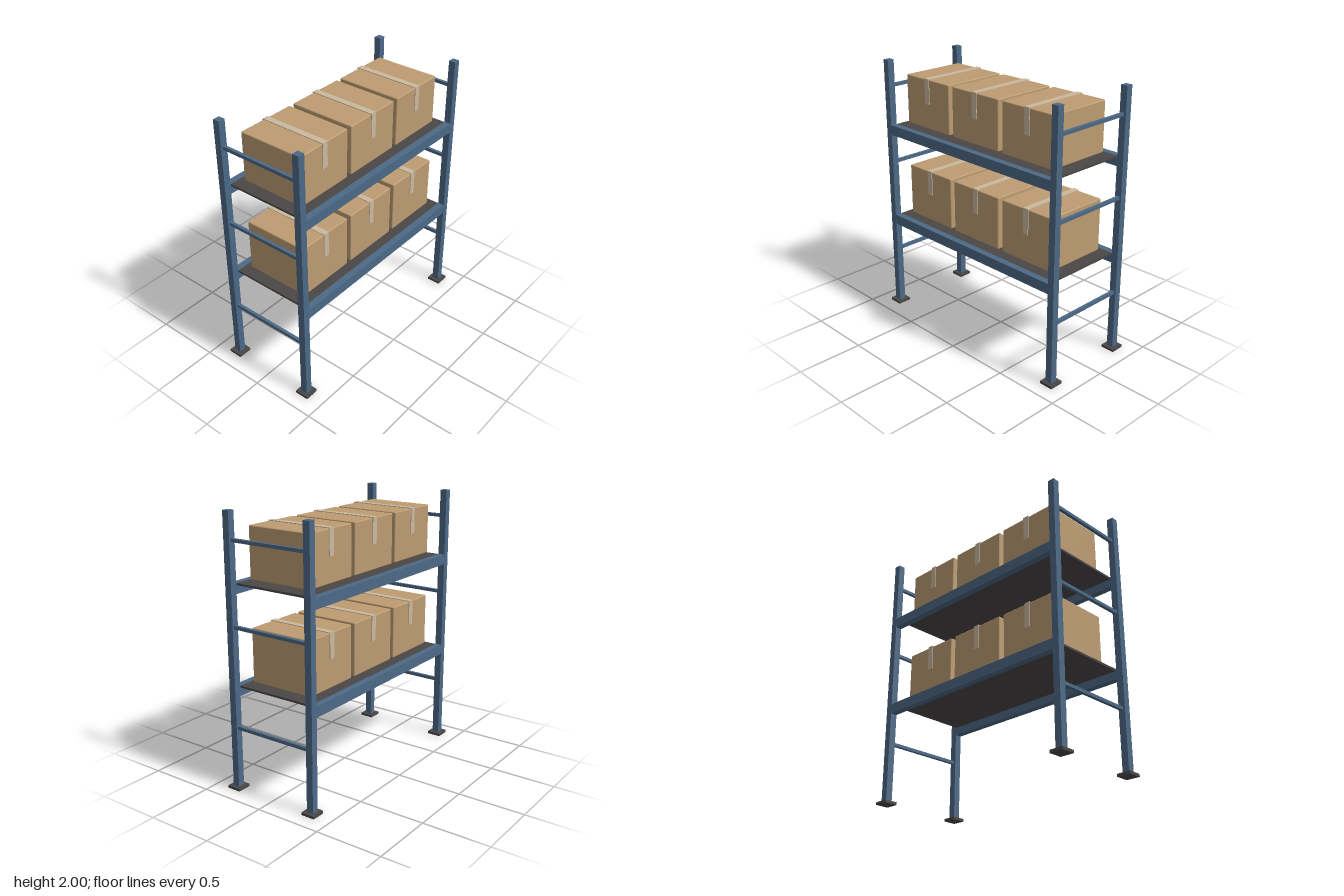
import * as THREE from 'three';
import { RoundedBoxGeometry } from 'three/addons/geometries/RoundedBoxGeometry.js';

const material = (name, color) => {
  const m = new THREE.MeshStandardMaterial({ color });
  m.name = name;
  return m;
};

export function createModel() {
  const steel = material('blue steel', 0x4c6986);
  const dark = material('dark metal', 0x4b4747);
  const cardboard = material('cardboard', 0xbd9c72);
  const tapeColor = material('packing tape', 0xcbb99f);

  const model = new THREE.Group();
  model.name = 'palletRack';

  const add = (parent, name, geometry, mat, x, y, z) => {
    const mesh = new THREE.Mesh(geometry, mat);
    mesh.name = name;
    mesh.position.set(x, y, z);
    parent.add(mesh);
    return mesh;
  };
  const box = (parent, name, mat, w, h, d, x, y, z) =>
    add(parent, name, new THREE.BoxGeometry(w, h, d), mat, x, y, z);

  const postX = 0.835, postZ = 0.335, postSize = 0.052;

  // End frames: two posts on foot plates, joined by three rungs
  for (const side of [1, -1]) {
    const frame = new THREE.Group();
    frame.name = side > 0 ? 'leftFrame' : 'rightFrame';
    for (const end of [1, -1]) {
      const place = end > 0 ? 'front' : 'back';
      box(frame, place + 'Post', steel, postSize, 1.99, postSize, side * postX, 1.005, end * postZ);
      box(frame, place + 'FootPlate', dark, 0.105, 0.02, 0.105, side * postX, 0.01, end * postZ);
    }
    for (const y of [0.47, 1.205, 1.803]) {
      box(frame, 'rung', steel, 0.024, 0.024, 0.62, side * postX, y, 0);
    }
    model.add(frame);
  }

  // A taped carton, standing on its own origin
  const carton = (height) => {
    const group = new THREE.Group();
    group.name = 'carton';
    const w = 0.462, d = 0.508, drop = 0.185, t = 0.005, tapeW = 0.046;
    add(group, 'cartonBody', new RoundedBoxGeometry(w, height, d, 2, 0.008), cardboard, 0, height / 2, 0);
    box(group, 'topTape', tapeColor, tapeW, t, d + 2 * t, 0, height + t / 2, 0);
    for (const end of [1, -1]) {
      box(group, 'tapeEnd', tapeColor, tapeW, drop, t, 0, height - drop / 2, end * (d + t) / 2);
    }
    return group;
  };

  // Two loaded shelves: beams, deck and three cartons each
  const shelves = [
    { name: 'lowerShelf', top: 0.775, height: 0.395 },
    { name: 'upperShelf', top: 1.507, height: 0.37 },
  ];
  for (const { name, top, height } of shelves) {
    const shelf = new THREE.Group();
    shelf.name = name;
    shelf.position.y = top;
    for (const end of [1, -1]) {
      box(shelf, end > 0 ? 'frontBeam' : 'backBeam', steel, 1.62, 0.076, 0.05, 0, -0.038, end * postZ);
    }
    box(shelf, 'deck', dark, 1.61, 0.015, 0.62, 0, -0.0075, 0);
    for (const x of [-0.5, 0, 0.5]) {
      const c = carton(height);
      c.position.set(x, 0.017, 0);
      shelf.add(c);
    }
    model.add(shelf);
  }
  return model;
}
